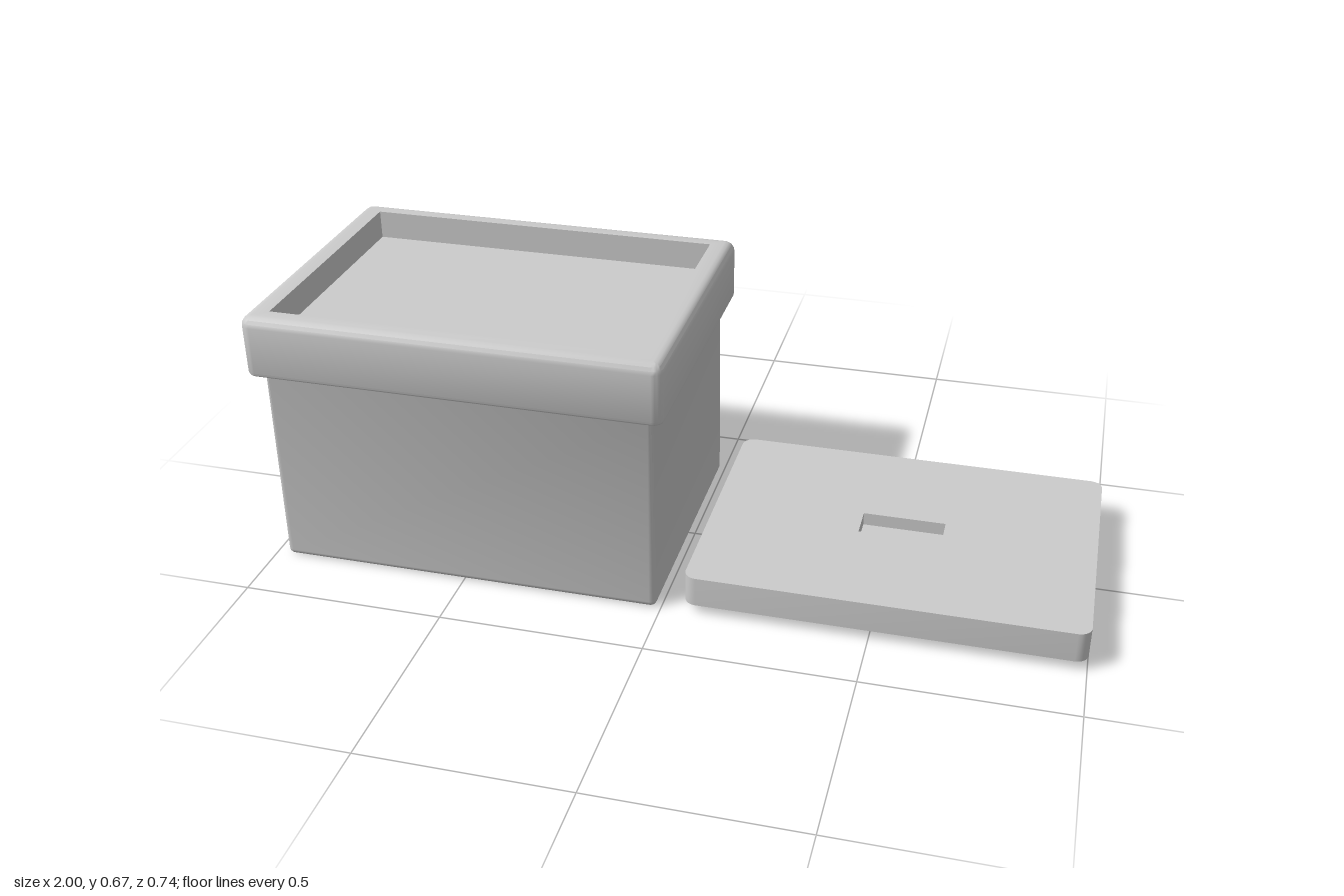
import * as THREE from 'three';
import { toCreasedNormals } from 'three/addons/utils/BufferGeometryUtils.js';

const SEG = 5;

// One horizontal rounded rectangle: half width, half depth, corner radius, height.
function ring([hw, hd, r, y]) {
  const pts = [];
  for (let c = 0; c < 4; c++) {
    const sx = c === 0 || c === 3 ? 1 : -1;
    const sz = c < 2 ? 1 : -1;
    for (let i = 0; i <= SEG; i++) {
      const a = (c + i / SEG) * Math.PI / 2;
      pts.push(new THREE.Vector3(
        sx * (hw - r) + r * Math.cos(a), y, sz * (hd - r) + r * Math.sin(a)));
    }
  }
  return pts;
}

// Skin a sequence of rings, leaving out collapsed triangles.
function loft(sections) {
  const rings = sections.map(ring);
  const pos = [];
  const tri = (a, b, c) => {
    if (new THREE.Triangle(a, b, c).getArea() > 1e-9) {
      for (const p of [a, b, c]) pos.push(p.x, p.y, p.z);
    }
  };
  for (let i = 0; i + 1 < rings.length; i++) {
    const n = rings[i].length;
    for (let j = 0; j < n; j++) {
      const k = (j + 1) % n;
      tri(rings[i][j], rings[i + 1][j], rings[i][k]);
      tri(rings[i][k], rings[i + 1][j], rings[i + 1][k]);
    }
  }
  const g = new THREE.BufferGeometry();
  g.setAttribute('position', new THREE.Float32BufferAttribute(pos, 3));
  return toCreasedNormals(g, 0.6);
}

// Quarter-round edge; the inset at angle a is r(1 - cos a), the rise r sin a.
function fillet(hw, hd, corner, y, r, from, to) {
  const out = [];
  for (let i = 0; i <= 4; i++) {
    const a = from + (to - from) * i / 4;
    const inset = r * (1 - Math.cos(a));
    out.push([hw - inset, hd - inset, Math.max(corner - inset, 0.002), y + r * Math.sin(a)]);
  }
  return out;
}

export function createModel() {
  const model = new THREE.Group();
  const material = new THREE.MeshStandardMaterial({ color: 0xcccccc });
  const Q = Math.PI / 2;
  const add = (name, sections, x) => {
    const mesh = new THREE.Mesh(loft(sections), material);
    mesh.name = name;
    mesh.position.x = x;
    model.add(mesh);
  };

  // Box: rounded base, straight walls, flared neck, thick collar, sunken top
  add('box', [
    [0, 0, 0, 0],
    ...fillet(0.479, 0.34, 0.016, 0.015, 0.015, -Q, 0),
    [0.477, 0.338, 0.016, 0.5],
    [0.481, 0.342, 0.016, 0.508],
    [0.49, 0.35, 0.016, 0.512],
    ...fillet(0.5085, 0.368, 0.026, 0.525, 0.012, -Q, 0),
    ...fillet(0.5085, 0.368, 0.026, 0.642, 0.025, 0, Q),
    [0.451, 0.317, 0, 0.667],
    [0.451, 0.317, 0, 0.595],
    [0, 0, 0, 0.595],
  ], -0.4915);

  // Separate lid slab with a rectangular finger slot
  add('lid', [
    [0, 0, 0, 0.025],
    [0.4725, 0.339, 0.03, 0.025],
    [0.4725, 0.339, 0.03, 0.101],
    [0.102, 0.043, 0, 0.101],
    [0.102, 0.043, 0, 0.068],
    [0, 0, 0, 0.068],
  ], 0.5275);

  return model;
}
